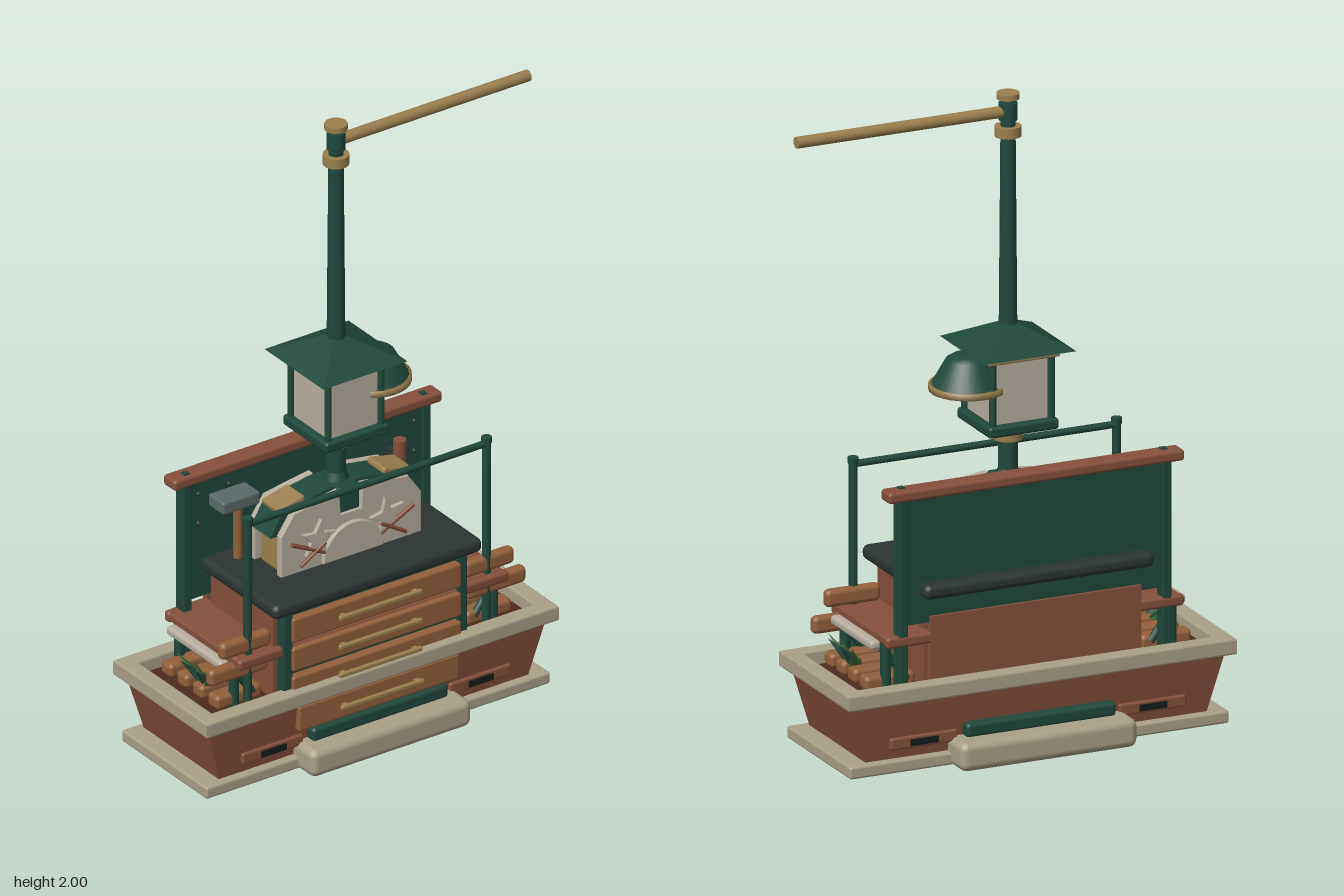
import * as THREE from 'three';
import { RoundedBoxGeometry } from 'three/addons/geometries/RoundedBoxGeometry.js';

const C = { brick: 0x84503c, wood: 0x91603c, green: 0x21483c, stone: 0xaaa088, gold: 0x9a8050,
  dark: 0x2b3533, cream: 0xb8aea0, black: 0x141c1a, slate: 0x5a6b68, leaf: 0x3f6b3a, soil: 0x4d2b20 };
const CX = -0.03; // shared centre line of tank, cabinet and post

export function createModel() {
  const root = new THREE.Group();
  root.name = 'lampCabinet';
  const mats = {};
  const mat = (c) => (mats[c] ??= new THREE.MeshStandardMaterial({ color: C[c], side: THREE.DoubleSide }));
  const add = (name, c, geo, x = 0, y = 0, z = 0) => {
    const m = new THREE.Mesh(geo, mat(c));
    m.name = name;
    m.position.set(x, y, z);
    root.add(m);
    return m;
  };
  // box from its limits, optionally with rounded edges
  const box = (name, c, x0, x1, y0, y1, z0, z1, r = 0) => {
    const s = [x1 - x0, y1 - y0, z1 - z0];
    const g = r ? new RoundedBoxGeometry(...s, 2, r) : new THREE.BoxGeometry(...s);
    return add(name, c, g, (x0 + x1) / 2, (y0 + y1) / 2, (z0 + z1) / 2);
  };
  const cyl = (name, c, r0, r1, y0, y1, x, z, n = 20, open = false) =>
    add(name, c, new THREE.CylinderGeometry(r1, r0, y1 - y0, n, 1, open), x, (y0 + y1) / 2, z);
  // round bar between two points
  const bar = (name, c, a, b, r) => {
    const p = new THREE.Vector3(...a), q = new THREE.Vector3(...b);
    const m = add(name, c, new THREE.CylinderGeometry(r, r, p.distanceTo(q), 12));
    m.position.copy(p).lerp(q, 0.5);
    m.quaternion.setFromUnitVectors(new THREE.Vector3(0, 1, 0), q.sub(p).normalize());
    return m;
  };
  const poly = (pts) => new THREE.Shape(pts.map((p) => new THREE.Vector2(...p)));
  const extrude = (shape, depth, bevel = 0) => new THREE.ExtrudeGeometry(shape, {
    depth, bevelEnabled: bevel > 0, bevelSize: bevel, bevelThickness: bevel, bevelSegments: 2, curveSegments: 16 });
  const rect = (hx, hz) => [[-hx, -hz], [hx, -hz], [hx, hz], [-hx, hz]];

  // base plate, vents beneath it, and front and back steps
  box('basePlate', 'stone', CX - 0.622, CX + 0.622, 0.006, 0.045, -0.22, 0.22, 0.008);
  for (const s of [-1, 1]) {
    box('baseVent', 'black', CX + s * 0.42 - 0.08, CX + s * 0.42 + 0.08, 0.003, 0.02, -0.1, 0.1);
    box('step', 'stone', CX - 0.29, CX + 0.29, 0, 0.09, s * 0.225 - 0.07, s * 0.225 + 0.07, 0.025);
    box('stepPad', 'green', CX - 0.245, CX + 0.245, 0.085, 0.13, s * 0.205 - 0.03, s * 0.205 + 0.03, 0.012);
    for (const t of [-1, 1]) {
      const x = CX + t * 0.375;
      box('slotPlate', 'brick', x - 0.11, x + 0.11, 0.075, 0.112, s * 0.2 - 0.012, s * 0.2 + 0.012, 0.006);
      box('slot', 'black', x + t * 0.0 - 0.045, x + 0.045, 0.083, 0.103, s * 0.205 - 0.012, s * 0.205 + 0.012);
    }
  }

  // flared tank: a box whose bottom corners are pulled in
  const tank = new THREE.BoxGeometry(1.22, 0.19, 0.43);
  const tp = tank.attributes.position;
  for (let i = 0; i < tp.count; i++) if (tp.getY(i) < 0) tp.setXYZ(i, tp.getX(i) * 0.915, -0.095, tp.getZ(i) * 0.9);
  tank.computeVertexNormals();
  add('tank', 'brick', tank, CX, 0.135, 0);
  box('tankFloor', 'soil', CX - 0.59, CX + 0.59, 0.22, 0.233, -0.2, 0.2);
  const rim = poly(rect(0.63, 0.237));
  rim.holes.push(poly(rect(0.587, 0.195)));
  add('tankRim', 'stone', extrude(rim, 0.038, 0.006), CX, 0.231, 0).rotation.x = -Math.PI / 2;

  // cabinet body with corner posts, drawers and handles
  box('cabinetBody', 'green', CX - 0.33, CX + 0.33, 0.23, 0.535, -0.18, 0.19);
  box('cabinetBack', 'brick', CX - 0.345, CX + 0.345, 0.23, 0.47, -0.195, -0.17);
  for (const s of [-1, 1]) {
    box('cabinetPost', 'green', CX + s * 0.315 - 0.018, CX + s * 0.315 + 0.018, 0.24, 0.535, 0.17, 0.205, 0.006);
    box('cabinetSide', 'brick', CX + s * 0.335 - 0.012, CX + s * 0.335 + 0.012, 0.24, 0.52, -0.15, 0.17);
  }
  for (const [y0, y1, hx, z] of [[0.43, 0.512, 0.305, 0.215], [0.333, 0.412, 0.305, 0.215], [0.24, 0.315, 0.305, 0.215], [0.13, 0.215, 0.29, 0.225]]) {
    box('drawer', 'wood', CX - hx, CX + hx, y0, y1, z - 0.04, z, 0.008);
    const y = (y0 + y1) / 2 + 0.003;
    box('drawerHandle', 'gold', CX - 0.15, CX + 0.15, y - 0.008, y + 0.008, z + 0.008, z + 0.022, 0.005);
    for (const s of [-1, 1]) box('handleMount', 'gold', CX + s * 0.13 - 0.008, CX + s * 0.13 + 0.008, y - 0.006, y + 0.006, z - 0.005, z + 0.012);
  }
  box('countertop', 'dark', CX - 0.377, CX + 0.377, 0.53, 0.577, -0.228, 0.225, 0.02);

  // back panel with rivets and top rail
  box('backPanel', 'green', CX - 0.435, CX + 0.435, 0.45, 0.845, -0.185, -0.155);
  box('topRail', 'brick', CX - 0.485, CX + 0.485, 0.84, 0.875, -0.202, -0.14, 0.01);
  for (const s of [-1, 1]) {
    box('panelPost', 'green', CX + s * 0.432 - 0.015, CX + s * 0.432 + 0.015, 0.24, 0.845, -0.192, -0.148, 0.005);
    for (let i = 0; i < 4; i++)
      add('rivet', 'dark', new THREE.SphereGeometry(0.008, 8, 6), CX + s * (i < 2 ? 0.39 : 0.28), i % 2 ? 0.8 : 0.7, -0.154);
    box('railPin', 'green', CX + s * 0.43 - 0.01, CX + s * 0.43 + 0.01, 0.86, 0.879, -0.175, -0.155);
  }

  // front guard rail
  bar('guardRail', 'green', [CX - 0.44, 0.853, 0.16], [CX + 0.44, 0.853, 0.16], 0.011);
  for (const s of [-1, 1]) {
    cyl('guardPost', 'green', 0.013, 0.013, 0.23, 0.862, CX + s * 0.432, 0.16, 12);
    cyl('guardCap', 'green', 0.016, 0.016, 0.855, 0.875, CX + s * 0.432, 0.16, 12);
  }

  // side shelves, handle bars, logs, slats and leaves
  for (const z of [-0.18, 0.185]) box('waistRail', 'brick', CX - 0.488, CX + 0.488, 0.385, 0.42, z - 0.014, z + 0.014, 0.01);
  for (const s of [-1, 1]) {
    const X = (d) => CX + s * d;
    const span = (a, b) => [Math.min(X(a), X(b)), Math.max(X(a), X(b))];
    box('sideShelf', 'brick', ...span(0.33, 0.485), 0.39, 0.418, -0.18, 0.17, 0.008);
    box('shelfBar', 'cream', ...span(0.482, 0.518), 0.37, 0.4, -0.142, 0.142, 0.012);
    for (const z of [-0.14, 0.14]) {
      cyl('shelfLeg', 'green', 0.016, 0.016, 0.23, 0.39, X(0.468), z, 12);
      bar('shelfBrace', 'green', [X(0.4), 0.27, z], [X(0.468), 0.36, z], 0.012);
    }
    box('upperLog', 'wood', ...span(0.35, 0.53), 0.42, 0.475, 0.135, 0.172, 0.016);
    box('lowerLog', 'wood', ...span(0.36, 0.572), 0.343, 0.398, 0.135, 0.172, 0.016);
    for (let i = 0; i < 4; i++)
      box('slat', 'wood', ...span(0.37, 0.535), 0.245, 0.29, -0.145 + i * 0.08, -0.09 + i * 0.08, 0.014);
    for (let i = 0; i < 5; i++) {
      const leaf = add('leaf', i % 2 ? 'green' : 'leaf', new THREE.ConeGeometry(0.022, 0.11, 5), X(0.515 + 0.008 * (i % 2)), 0.315, 0.03 + (i - 2) * 0.025);
      leaf.scale.z = 0.6;
      leaf.rotation.set((i - 2) * 0.35, 0, -s * (0.4 + 0.3 * (i % 2)));
    }
  }

  // counter cabinet: core, shaped cream faces and roof
  box('displayCore', 'gold', CX - 0.24, CX + 0.24, 0.575, 0.73, -0.05, 0.045, 0.01);
  const half = [[0.04, 0.575], [0.25, 0.575], [0.25, 0.71], [0.205, 0.775], [0.045, 0.8], [0.04, 0.72]];
  const outline = [...half, ...half.map(([x, y]) => [-x, y]).reverse()];
  for (const z of [-0.08, 0.058]) add('displayFace', 'cream', extrude(poly(outline), 0.018, 0.003), CX, 0, z);
  const roofArc = poly([[-0.27, 0.7], [-0.225, 0.775], [-0.06, 0.803], [0.06, 0.803], [0.225, 0.775], [0.27, 0.7]]);
  add('displayRoof', 'green', extrude(roofArc, 0.1), CX, 0, -0.053);
  for (const s of [-1, 1]) {
    const cap = box('roofCap', 'gold', CX + s * 0.19 - 0.05, CX + s * 0.19 + 0.05, 0.775, 0.797, -0.045, 0.045, 0.008);
    cap.rotation.z = -s * 0.22;
    // relief star and crossed sticks
    const star = new THREE.Shape();
    for (let i = 0; i < 10; i++) {
      const r = i % 2 ? 0.024 : 0.06, a = Math.PI / 2 + i * Math.PI / 5;
      star[i ? 'lineTo' : 'moveTo'](r * Math.cos(a), r * Math.sin(a));
    }
    add('star', 'cream', extrude(star, 0.01, 0.003), CX + s * 0.125, 0.672, 0.078).rotation.z = s * 0.15;
    bar('stick', 'brick', [CX + s * 0.08, 0.61, 0.086], [CX + s * 0.22, 0.68, 0.086], 0.007);
    bar('stick', 'brick', [CX + s * 0.1, 0.655, 0.09], [CX + s * 0.19, 0.6, 0.09], 0.006);
  }
  const fan = new THREE.Shape();
  fan.absarc(0, 0, 0.105, 0, Math.PI);
  add('fanRelief', 'cream', extrude(fan, 0.012, 0.003), CX, 0.585, 0.078);
  box('keystone', 'green', CX - 0.038, CX + 0.038, 0.715, 0.805, -0.06, 0.07, 0.008);

  // small fittings against the back panel
  box('gaugeBox', 'slate', -0.385, -0.25, 0.748, 0.79, -0.155, -0.075, 0.008);
  cyl('canister', 'brick', 0.02, 0.02, 0.67, 0.79, 0.27, -0.1, 16);
  box('canisterBracket', 'dark', 0.26, 0.28, 0.71, 0.74, -0.16, -0.1);
  cyl('stake', 'wood', 0.014, 0.014, 0.575, 0.745, -0.315, -0.1, 12);

  // post and lantern
  cyl('neck', 'green', 0.03, 0.03, 0.78, 0.98, CX, 0);
  cyl('neckFlare', 'green', 0.045, 0.03, 0.79, 0.83, CX, 0);
  cyl('neckCollar', 'gold', 0.044, 0.044, 0.92, 0.946, CX, 0);
  box('lanternBase', 'green', CX - 0.115, CX + 0.115, 0.965, 1.0, -0.115, 0.115, 0.01);
  box('lanternGlass', 'cream', CX - 0.092, CX + 0.092, 1.0, 1.195, -0.092, 0.092);
  for (const a of [-1, 1]) for (const b of [-1, 1])
    cyl('lanternPost', 'green', 0.011, 0.011, 0.995, 1.2, CX + a * 0.096, b * 0.096, 10);
  box('lanternFrame', 'gold', CX - 0.117, CX + 0.117, 1.193, 1.215, -0.117, 0.117, 0.005);
  const roof = new THREE.CylinderGeometry(0.03, 0.152 * Math.SQRT2, 0.068, 4).toNonIndexed();
  roof.computeVertexNormals();
  add('lanternRoof', 'green', roof, CX, 1.249, 0).rotation.y = Math.PI / 4;
  cyl('mast', 'green', 0.028, 0.022, 1.26, 1.985, CX, 0);
  cyl('mastCollar', 'gold', 0.04, 0.04, 1.865, 1.897, CX, 0);
  cyl('mastHub', 'green', 0.028, 0.028, 1.915, 1.97, CX, 0);
  cyl('mastCap', 'gold', 0.035, 0.035, 1.982, 2.0, CX, 0);
  bar('mastArm', 'gold', [CX + 0.01, 1.942, 0], [0.665, 1.942, 0], 0.018);

  // side lamp hood with rim
  const hood = [[0, 1.2], [0.045, 1.2], [0.066, 1.187], [0.112, 1.105]].map((p) => new THREE.Vector2(...p));
  add('lampHood', 'green', new THREE.LatheGeometry(hood, 28), 0.102, 0, 0);
  const ring = [[0.103, 1.092], [0.117, 1.092], [0.117, 1.112], [0.103, 1.112], [0.103, 1.092]].map((p) => new THREE.Vector2(...p));
  add('hoodRim', 'gold', new THREE.LatheGeometry(ring, 28), 0.102, 0, 0);
  add('lampBulb', 'cream', new THREE.SphereGeometry(0.035, 16, 10), 0.11, 1.13, 0);

  return root;
}
